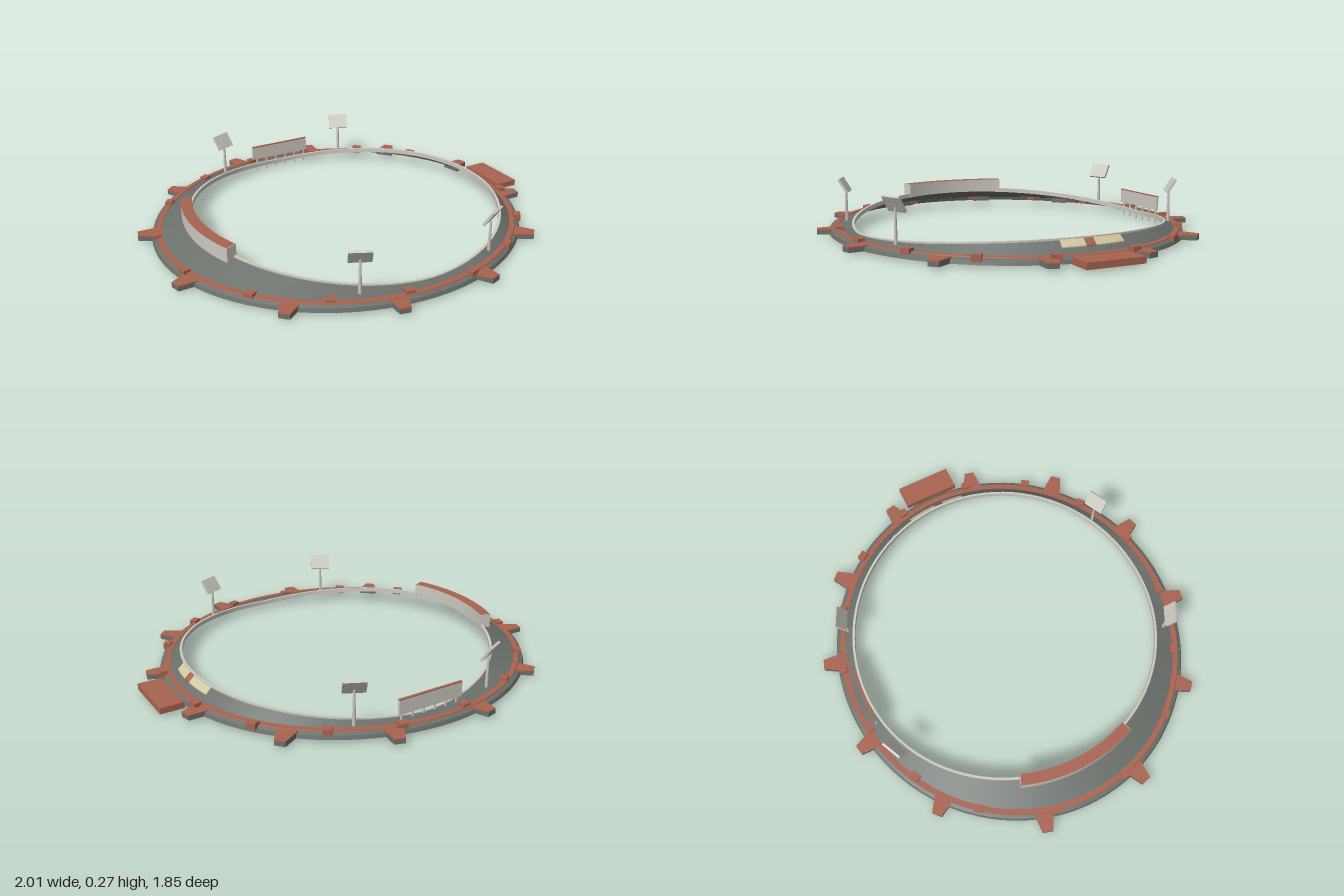
import * as THREE from 'three';

const mat = (name, color, side = THREE.DoubleSide) => {
  const m = new THREE.MeshStandardMaterial({ color, side });
  m.name = name;
  return m;
};

export function createModel() {
  const root = new THREE.Group();
  const grey = mat('roofGrey', 0x6b706b);
  const red = mat('brickRed', 0xa86350);
  const light = mat('paleGrey', 0xccc9c0);
  const cream = mat('cream', 0xd2c7a2);

  const add = (name, geo, material, parent = root) => {
    const m = new THREE.Mesh(geo, material);
    m.name = name;
    parent.add(m);
    return m;
  };

  // Point on the oval outer line, moved inward by d
  const outer = (a, d, y) => [-0.045 + (0.93 - d) * Math.cos(a), y, (0.88 - d) * Math.sin(a)];
  // Point on the circular inner line
  const inner = (a, r, y) => [r * Math.cos(a), y, r * Math.sin(a)];
  // Height of the inner edge: high at both ends, low at front and back
  const rimY = (a) => {
    const c = Math.cos(a);
    return 0.042 + (c < 0 ? 0.07 : 0.055) * Math.pow(Math.abs(c), 1.35);
  };
  // Point on the sloping roof: t = 0 at the outer band, 1 at the inner edge
  const roof = (a, t, lift = 0) => {
    const p = outer(a, 0.05, 0.04), q = inner(a, 0.775, rimY(a));
    return p.map((v, i) => v + (q[i] - v) * t + (i === 1 ? lift : 0));
  };

  // Strips between neighbouring profile curves, smooth along the sweep
  function sweep(name, curves, material, a0 = 0, a1 = Math.PI * 2, n = 96) {
    const pos = [], idx = [];
    const closed = a1 - a0 > 6.28;
    for (let k = 0; k + 1 < curves.length; k++) {
      const base = pos.length / 3, count = closed ? n : n + 1;
      for (let i = 0; i < count; i++) {
        const a = a0 + (a1 - a0) * i / n;
        pos.push(...curves[k](a), ...curves[k + 1](a));
      }
      for (let i = 0; i < n; i++) {
        const p = base + 2 * i, r = base + 2 * ((i + 1) % count);
        idx.push(p, p + 1, r, p + 1, r + 1, r);
      }
    }
    const g = new THREE.BufferGeometry();
    g.setAttribute('position', new THREE.Float32BufferAttribute(pos, 3));
    g.setIndex(idx);
    g.computeVertexNormals();
    return add(name, g, material);
  }

  // Main ring
  sweep('outerWall', [a => outer(a, 0, 0.012), a => outer(a, 0.006, 0.03), a => outer(a, 0.022, 0.038)], grey);
  sweep('outerBand', [a => outer(a, 0.022, 0.038), a => outer(a, 0.024, 0.043),
    a => outer(a, 0.05, 0.043), a => outer(a, 0.05, 0.039)], red);
  sweep('slopingRoof', [a => roof(a, 0), a => roof(a, 1)], grey);
  sweep('innerRim', [a => inner(a, 0.782, rimY(a) - 0.004), a => inner(a, 0.782, rimY(a) + 0.004),
    a => inner(a, 0.77, rimY(a) + 0.004), a => inner(a, 0.77, rimY(a) - 0.018),
    a => inner(a, 0.78, rimY(a) - 0.018)], light);

  // Buttresses around the outside: grey wedge with a red cap
  const wedge = new THREE.Shape([[0, -0.025], [0, 0.025], [-0.1, 0.048], [-0.1, -0.048]]
    .map(p => new THREE.Vector2(...p)));
  const slab = (h) => new THREE.ExtrudeGeometry(wedge, { depth: h, bevelEnabled: false }).rotateX(-Math.PI / 2);
  const wedgeBody = slab(0.02), wedgeCap = slab(0.006);
  const tabs = [[-1.0, 0.27], [-0.69, 0.71], [-0.235, 0.92], [0.25, 0.905], [0.68, 0.66], [0.92, 0.24]];
  // Small blocks standing on the red band
  const blocks = [[-0.925, 0.19], [-0.755, 0.515], [-0.48, 0.725], [-0.155, 0.825],
    [0.18, 0.825], [0.475, 0.7], [0.715, 0.485], [0.85, 0.19]];
  const blockGeo = new THREE.BoxGeometry(0.036, 0.032, 0.045);
  for (const s of [-1, 1]) {
    for (const [x, z] of tabs) {
      const g = new THREE.Group();
      g.name = 'buttress';
      g.position.set(x, 0.012, s * z);
      g.rotation.y = -Math.atan2(s * z, x + 0.045);
      add('buttressBody', wedgeBody, grey, g);
      add('buttressCap', wedgeCap, red, g).position.y = 0.02;
      root.add(g);
    }
    for (const [x, z] of blocks) {
      const b = add('bandBlock', blockGeo, red);
      b.position.set(x, 0.04, s * z);
      b.rotation.y = -Math.atan2(s * z, x + 0.045);
    }
  }

  // Entrance platform: open underneath
  const px = 0.942, pz = -0.005, pw = 0.116, pd = 0.284;
  add('platformTop', new THREE.BoxGeometry(pw, 0.008, pd), red).position.set(px, 0.039, pz);
  for (const s of [-1, 1]) {
    add('platformSide', new THREE.BoxGeometry(pw, 0.026, 0.008), red).position.set(px, 0.026, pz + s * (pd / 2 - 0.004));
    add('platformEnd', new THREE.BoxGeometry(0.008, 0.026, pd), red).position.set(px + s * (pw / 2 - 0.004), 0.026, pz);
  }

  // Cream roof panels with a red walkway between them
  const patch = (name, m, a0, a1) => sweep(name, [a => roof(a, 0.42, 0), a => roof(a, 0.42, 0.005),
    a => roof(a, 0.97, 0.005), a => roof(a, 0.97, 0)], m, a0, a1, 8);
  patch('roofPanel', cream, -0.22, -0.03);
  patch('roofPanel', cream, 0.03, 0.17);
  patch('walkway', red, -0.028, 0.028);

  // Curved box on the high end: pale walls, red top
  const b0 = Math.PI - 0.37, b1 = Math.PI + 0.37;
  const low = 0.105, top = 0.163;
  sweep('curvedBoxOuterWall', [a => inner(a, 0.82, low - 0.015), a => inner(a, 0.82, top)], light, b0, b1, 20);
  sweep('curvedBoxTop', [a => inner(a, 0.82, top), a => inner(a, 0.765, top)], red, b0, b1, 20);
  sweep('curvedBoxInnerWall', [a => inner(a, 0.765, top), a => inner(a, 0.765, low)], light, b0, b1, 20);
  for (const a of [b0, b1]) {
    const end = add('curvedBoxEnd', new THREE.BoxGeometry(0.055, top - low + 0.012, 0.004), light);
    end.position.set(...inner(a, 0.7925, (top + low) / 2 - 0.007));
    end.rotation.y = -a;
  }

  // Display board on posts at the back
  add('displayBoard', new THREE.BoxGeometry(0.34, 0.07, 0.012), light).position.set(0.005, 0.105, -0.787);
  add('displayBoardTop', new THREE.BoxGeometry(0.34, 0.004, 0.013), red).position.set(0.005, 0.142, -0.787);
  for (let i = 0; i < 6; i++)
    add('boardPost', new THREE.BoxGeometry(0.007, 0.075, 0.007), light).position.set(-0.14 + i * 0.06, 0.0375, -0.787);

  // Floodlights: tapered mast and a panel leaning back, facing inward
  const mastGeo = new THREE.CylinderGeometry(0.005, 0.009, 0.185, 8);
  const panelGeo = new THREE.BoxGeometry(0.104, 0.08, 0.012);
  for (const [x, z] of [[-0.352, -0.752], [0.36, -0.725], [-0.352, 0.745], [0.36, 0.715]]) {
    const g = new THREE.Group();
    g.name = 'floodlight';
    g.position.set(x, 0, z);
    g.rotation.y = Math.atan2(-x, -z);
    add('mast', mastGeo, light, g).position.set(0, 0.1275, 0.004);
    const p = add('lightPanel', panelGeo, light, g);
    p.position.set(0, 0.228, -0.002);
    p.rotation.x = -0.55;
    root.add(g);
  }
  return root;
}
